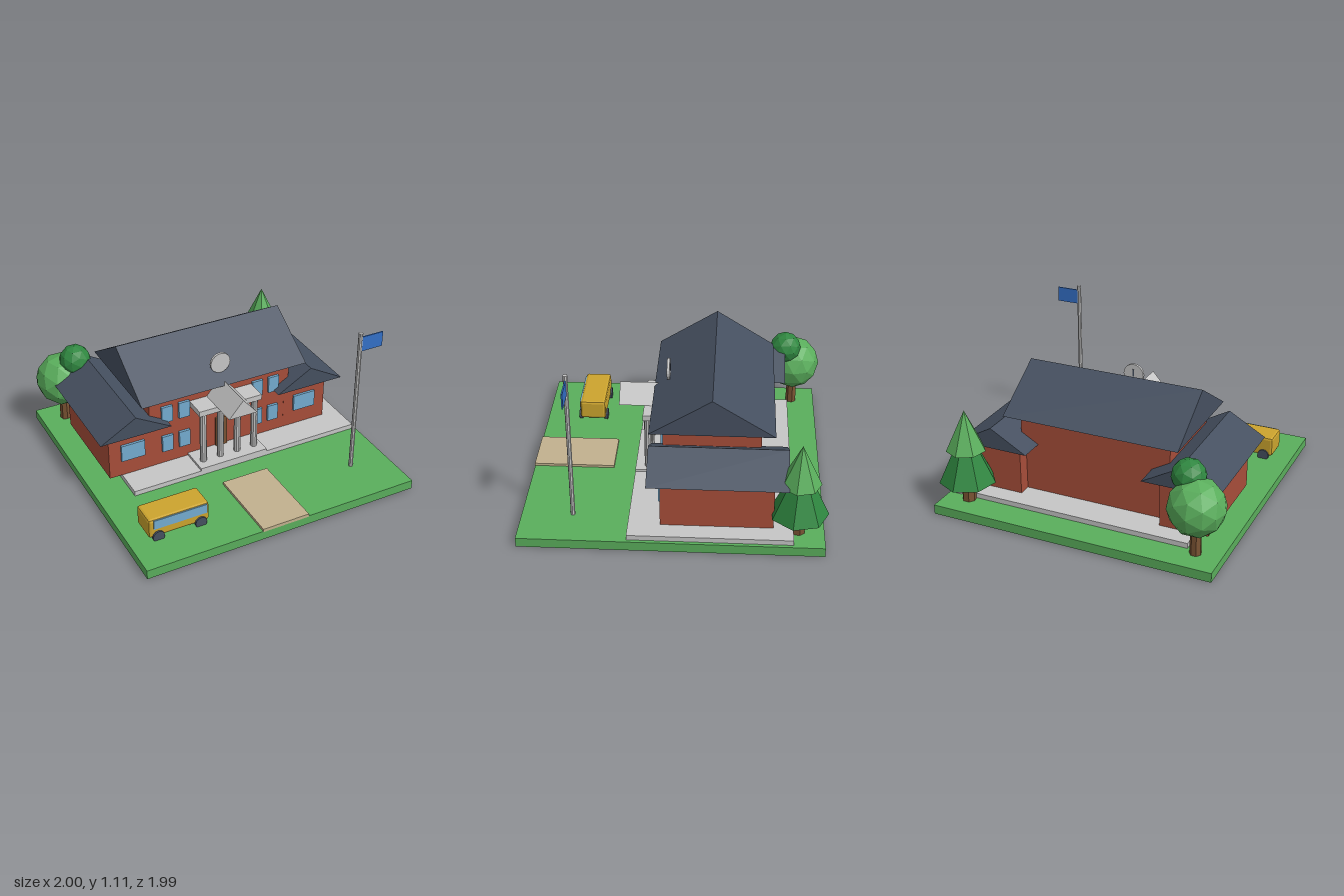
import * as THREE from 'three';
import { RoundedBoxGeometry } from 'three/addons/geometries/RoundedBoxGeometry.js';

const mat = (name, color) => {
  const m = new THREE.MeshStandardMaterial({ color, flatShading: true });
  m.name = name;
  return m;
};

export function createModel() {
  const root = new THREE.Group();
  root.name = 'schoolhouse';
  const brick = mat('brick', 0xa84e3a);
  const slate = mat('slate', 0x465060);
  const leaf = mat('light green', 0x5aae5c);
  const pine = mat('dark green', 0x2f8740);
  const stone = mat('pale stone', 0xc6c6c6);
  const glass = mat('glass', 0x74acd0);
  const wood = mat('wood', 0x7a5333);
  const yellow = mat('yellow paint', 0xcca42e);
  const sand = mat('sand', 0xc2b18e);
  const blue = mat('flag blue', 0x3470c8);

  const add = (name, geo, material, x = 0, y = 0, z = 0, parent = root) => {
    const m = new THREE.Mesh(geo, material);
    m.name = name;
    m.position.set(x, y, z);
    parent.add(m);
    return m;
  };
  // box from its limits on each axis
  const box = (name, material, [x0, x1], [y0, y1], [z0, z1], parent = root) =>
    add(name, new THREE.BoxGeometry(x1 - x0, y1 - y0, z1 - z0), material,
      (x0 + x1) / 2, (y0 + y1) / 2, (z0 + z1) / 2, parent);
  // solid gable with its ridge along z, centred lengthwise
  const gable = (width, height, length) => {
    const s = new THREE.Shape();
    s.moveTo(-width / 2, 0);
    s.lineTo(width / 2, 0);
    s.lineTo(0, height);
    s.closePath();
    return new THREE.ExtrudeGeometry(s, { depth: length, bevelEnabled: false })
      .translate(0, 0, -length / 2);
  };
  const group = (name) => {
    const g = new THREE.Group();
    g.name = name;
    root.add(g);
    return g;
  };

  // grounds
  box('lawn', leaf, [-0.98, 0.98], [0, 0.065], [-0.98, 0.985]);
  box('path', sand, [-0.17, 0.167], [0.06, 0.083], [0.435, 0.987]);
  box('plinth', stone, [-0.745, 0.957], [0.06, 0.1], [-0.78, 0.28]);

  // main block
  box('mainWalls', brick, [-0.532, 0.532], [0.1, 0.65], [-0.565, 0.072]);
  add('mainRoof', gable(0.81, 0.255, 1.234).rotateY(Math.PI / 2), slate, 0, 0.645, -0.247);

  // wings and front windows, mirrored
  for (const s of [-1, 1]) {
    const span = (a, b) => (s > 0 ? [a, b] : [-b, -a]);
    box('wingWalls', brick, span(0.5, 0.833), [0.1, 0.45], [-0.652, 0.073]);
    add('wingRoof', gable(0.51, 0.145, 0.895), slate, s * 0.663, 0.442, -0.292);
    box('wingWindow', glass, span(0.577, 0.747), [0.22, 0.342], [0.07, 0.09]);
    for (const x of [0.28, 0.407])
      for (const y of [0.26, 0.495])
        box('window', glass, span(x - 0.04, x + 0.04), [y - 0.061, y + 0.061], [0.07, 0.09]);
  }

  // portico
  const portico = group('portico');
  box('porchFloor', stone, [-0.253, 0.253], [0.1, 0.118], [0.07, 0.28], portico);
  box('door', wood, [-0.042, 0.042], [0.118, 0.345], [0.07, 0.09], portico);
  for (const x of [-0.195, -0.065, 0.065, 0.195])
    add('column', new THREE.CylinderGeometry(0.024, 0.024, 0.385, 10), stone, x, 0.31, 0.195, portico);
  box('lintel', stone, [-0.235, 0.235], [0.5, 0.54], [0.07, 0.225], portico);
  add('pediment', gable(0.21, 0.122, 0.395), stone, 0, 0.54, 0.197, portico);

  // clock with a hand on its rear face
  const clock = group('clock');
  add('clockFace', new THREE.CylinderGeometry(0.073, 0.073, 0.018, 20).rotateX(Math.PI / 2),
    stone, 0, 0.773, 0.064, clock);
  box('clockHand', slate, [-0.005, 0.005], [0.76, 0.81], [0.049, 0.056], clock);

  // flagpole
  const flag = group('flagpole');
  add('pole', new THREE.CylinderGeometry(0.015, 0.015, 1.05, 8), stone, 0.705, 0.587, 0.65, flag);
  box('flag', blue, [0.717, 0.875], [0.975, 1.08], [0.645, 0.654], flag);

  // bus
  const bus = group('bus');
  add('busBody', new RoundedBoxGeometry(0.425, 0.14, 0.185, 1, 0.018), yellow, -0.642, 0.155, 0.65, bus);
  box('busWindows', glass, [-0.82, -0.447], [0.15, 0.217], [0.738, 0.747], bus);
  for (const x of [-0.79, -0.492])
    for (const z of [0.558, 0.742])
      add('wheel', new THREE.CylinderGeometry(0.041, 0.041, 0.026, 12).rotateX(Math.PI / 2),
        slate, x, 0.09, z, bus);

  // round tree
  const oak = group('roundTree');
  add('trunk', new THREE.CylinderGeometry(0.035, 0.04, 0.26, 7), wood, -0.81, 0.135, -0.81, oak);
  add('crown', new THREE.IcosahedronGeometry(0.19, 1), leaf, -0.81, 0.395, -0.81, oak);
  add('upperCrown', new THREE.IcosahedronGeometry(0.113, 1), pine, -0.73, 0.56, -0.745, oak);

  // conifer
  const fir = group('conifer');
  add('trunk', new THREE.CylinderGeometry(0.047, 0.047, 0.24, 7), wood, 0.81, 0.125, -0.81, fir);
  const cone = (name, r, y0, y1, m) =>
    add(name, new THREE.ConeGeometry(r, y1 - y0, 7), m, 0.81, (y0 + y1) / 2, -0.81, fir).rotation.y = Math.PI;
  cone('lowerBoughs', 0.19, 0.21, 0.62, pine);
  cone('upperBoughs', 0.133, 0.437, 0.718, leaf);

  return root;
}
